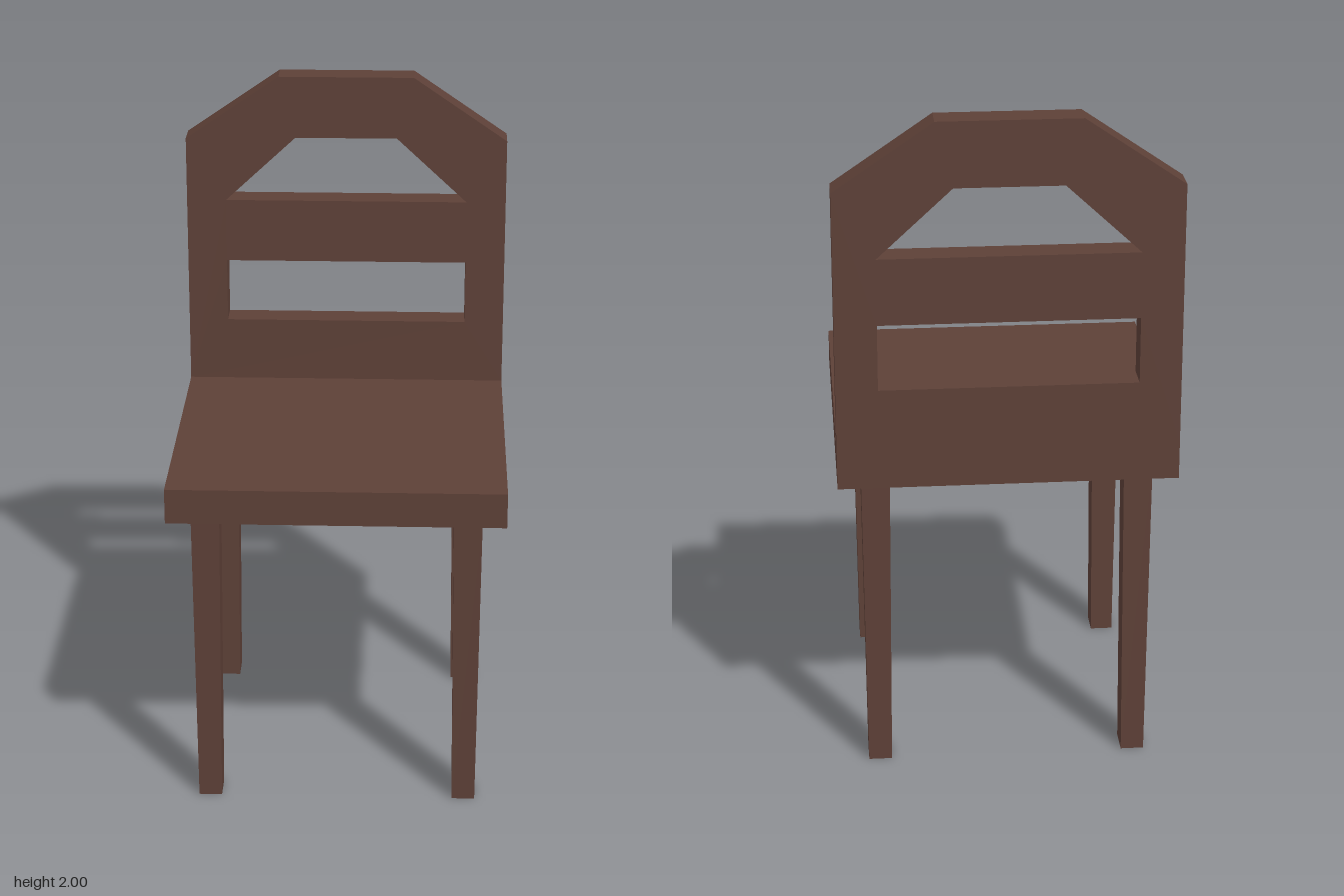
import * as THREE from 'three';

const HALF = 0.49;        // half width and depth of the seat
const SEAT_BOTTOM = 0.92;
const SEAT_TOP = 1.025;

const toPoints = (pairs) => pairs.map(([x, y]) => new THREE.Vector2(x, y));

// Leg that narrows towards the floor across its width only
function legGeometry() {
  const geometry = new THREE.BoxGeometry(0.083, SEAT_BOTTOM, 0.084);
  const position = geometry.attributes.position;
  for (let i = 0; i < position.count; i++) {
    if (position.getY(i) < 0) position.setX(i, position.getX(i) * 0.82);
  }
  geometry.translate(0, SEAT_BOTTOM / 2, 0);
  geometry.computeVertexNormals();
  return geometry;
}

// Panel with chamfered top corners, a trapezoid opening and a slot
function backrestGeometry() {
  const shape = new THREE.Shape(toPoints([
    [-HALF, SEAT_TOP], [HALF, SEAT_TOP], [HALF, 1.805],
    [0.205, 2], [-0.205, 2], [-HALF, 1.805],
  ]));
  shape.holes.push(
    new THREE.Path(toPoints([[-0.37, 1.61], [-0.155, 1.81], [0.155, 1.81], [0.37, 1.61]])),
    new THREE.Path(toPoints([[-0.37, 1.22], [-0.37, 1.415], [0.37, 1.415], [0.37, 1.22]])),
  );
  const geometry = new THREE.ExtrudeGeometry(shape, { depth: 0.087, bevelEnabled: false });
  geometry.translate(0, 0, -HALF);
  return geometry;
}

export function createModel() {
  const chair = new THREE.Group();
  chair.name = 'chair';
  const wood = new THREE.MeshStandardMaterial({ color: 0x5d4037 });
  wood.name = 'dark brown wood';

  const add = (name, geometry, x = 0, y = 0, z = 0) => {
    const mesh = new THREE.Mesh(geometry, wood);
    mesh.name = name;
    mesh.position.set(x, y, z);
    chair.add(mesh);
  };

  // Seat and backrest
  const thickness = SEAT_TOP - SEAT_BOTTOM;
  add('seat', new THREE.BoxGeometry(HALF * 2, thickness, HALF * 2), 0, SEAT_BOTTOM + thickness / 2, 0);
  add('backrest', backrestGeometry());

  // Four legs
  const leg = legGeometry();
  for (const [side, x] of [['Left', 0.38], ['Right', -0.38]]) {
    add('front' + side + 'Leg', leg, x, 0, 0.391);
    add('back' + side + 'Leg', leg, x, 0, -0.389);
  }
  return chair;
}
